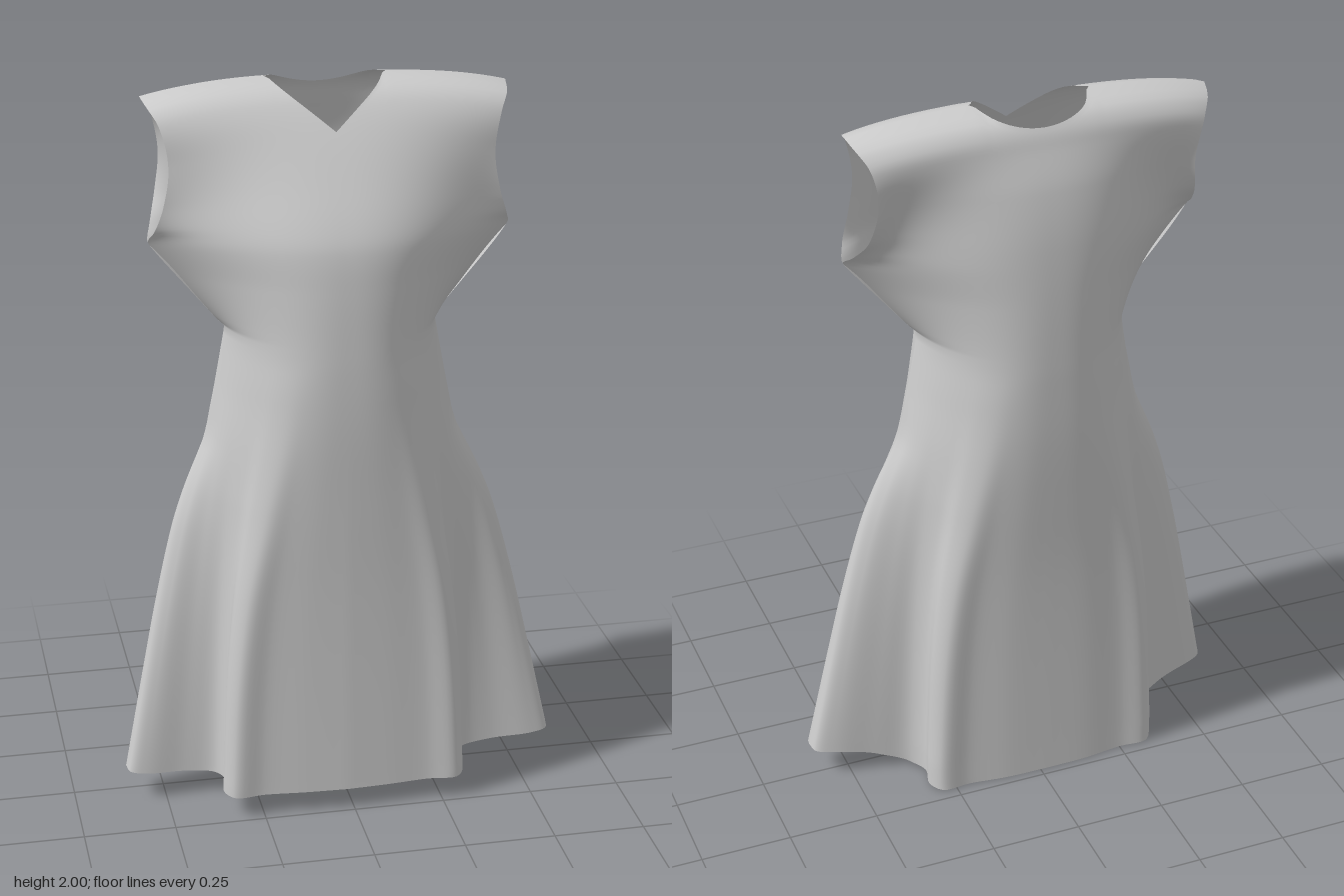
import * as THREE from 'three';
import { mergeGeometries, mergeVertices } from 'three/addons/utils/BufferGeometryUtils.js';

const WAIST = 1.35, TOP = 2, CENTRE = -0.02, COLS = 120, ROWS = 60;

// Smooth curve through [height, value] pairs
function profile(pts) {
  const slope = i => {
    const a = pts[Math.max(i - 1, 0)], b = pts[Math.min(i + 1, pts.length - 1)];
    return (b[1] - a[1]) / (b[0] - a[0]);
  };
  return y => {
    if (y <= pts[0][0]) return pts[0][1];
    if (y >= pts[pts.length - 1][0]) return pts[pts.length - 1][1];
    let i = 0;
    while (y > pts[i + 1][0]) i++;
    const [y0, v0] = pts[i], [y1, v1] = pts[i + 1], h = y1 - y0, t = (y - y0) / h;
    const t2 = t * t, t3 = t2 * t;
    return v0 * (2 * t3 - 3 * t2 + 1) + v1 * (3 * t2 - 2 * t3)
      + h * slope(i) * (t3 - 2 * t2 + t) + h * slope(i + 1) * (t3 - t2);
  };
}

// Half width at the seam and armhole, softer half width of the body inside it, and roundness
const seamWidth = profile([[0.9, 0.35], [1.05, 0.34], [1.2, 0.312], [1.33, 0.288], [1.35, 0.285], [1.37, 0.303],
  [1.48, 0.388], [1.59, 0.472], [1.61, 0.482], [1.64, 0.47], [1.72, 0.445], [1.83, 0.43], [1.94, 0.45], [2, 0.485]]);
const bodyWidth = profile([[0.9, 0.35], [1.05, 0.34], [1.2, 0.322], [1.35, 0.318], [1.5, 0.352],
  [1.62, 0.405], [1.75, 0.43], [2, 0.485]]);
const roundness = profile([[0, 2.8], [1.2, 2.8], [1.4, 2.6], [1.6, 2.4], [2, 2.3]]);
// How far the side folds and the front and back of the skirt have opened at a height
const sideFlare = profile([[0.08, 1], [0.4, 0.74], [0.6, 0.57], [0.8, 0.37], [0.92, 0.2], [1.03, 0.03], [1.08, 0]]);
const bodyFlare = profile([[0.08, 1], [0.4, 0.88], [0.65, 0.68], [0.9, 0.34], [1.1, 0.1], [1.3, 0]]);

// Hem outline from the centre out to the tip of the side fold, as [x, z]
const hemCurve = pts => new THREE.CatmullRomCurve3(pts.map(([x, z]) => new THREE.Vector3(x, 0, z)));

const frontPanel = {
  sign: 1,
  depth: profile([[0, 0.25], [1, 0.266], [1.2, 0.267], [1.35, 0.262], [1.5, 0.252], [1.6, 0.238],
    [1.66, 0.215], [1.75, 0.165], [1.88, 0.085], [1.95, 0.032], [1.975, 0], [1.99, -0.035], [2, -0.07]]),
  edge: profile([[1.35, 0], [1.6, 0], [1.65, 0.04], [1.72, 0.053], [1.83, 0.053], [1.93, 0.04], [1.98, 0], [2, -0.07]]),
  hem: hemCurve([[0, 0.24], [0.12, 0.235], [0.23, 0.228], [0.31, 0.235], [0.337, 0.195], [0.325, 0.13],
    [0.355, 0.08], [0.44, 0.058], [0.55, 0.058], [0.6, 0.045], [0.61, 0.015]]),
  hemHeight: a => 0.062 + 0.032 * a * a,
  neck: s => 0.815 + 0.185 * Math.min(s / 0.32, 1)
};
const backPanel = {
  sign: -1,
  depth: profile([[0, -0.235], [0.6, -0.25], [1, -0.264], [1.4, -0.264], [1.65, -0.252], [1.8, -0.228],
    [1.9, -0.195], [1.955, -0.172], [1.985, -0.135], [2, -0.07]]),
  edge: profile([[1.35, 0], [1.6, 0], [1.64, -0.05], [1.71, -0.115], [1.83, -0.15], [1.93, -0.155], [1.98, -0.12], [2, -0.07]]),
  hem: hemCurve([[0, -0.226], [0.12, -0.224], [0.23, -0.213], [0.31, -0.215], [0.337, -0.175], [0.325, -0.115],
    [0.355, -0.07], [0.44, -0.05], [0.55, -0.035], [0.6, -0.015], [0.61, 0.015]]),
  hemHeight: a => 0.002 + 0.032 * a * a + 0.06 * THREE.MathUtils.smoothstep(a, 0.55, 0.8),
  neck: s => 0.93 + 0.07 * Math.min(s / 0.32, 1) ** 2
};

// Point on a panel: u runs across from -1 to 1, v from -1 (hem) over 0 (waist) to 1 (neck and shoulder)
function panelPoint(panel, u, v) {
  const a = Math.abs(u), side = Math.sign(u);
  const s = a === 1 ? 1 : Math.sin(a * Math.PI / 2);
  const bodyX = y => s * THREE.MathUtils.lerp(bodyWidth(y), seamWidth(y), s ** 5);
  const bodyZ = y => panel.depth(y) * (1 - s ** roundness(y));
  if (v >= 0) {
    const t = v * panel.neck(s), level = WAIST + t * (TOP - WAIST);
    const shoulder = TOP - 0.04 * s ** 3;
    // Armhole depth only bends the cloth near the edge; near the shoulder it spreads across
    const spread = THREE.MathUtils.lerp(8, roundness(level), THREE.MathUtils.smoothstep(level, 1.58, 1.95));
    return [CENTRE + side * bodyX(level), WAIST + t * (shoulder - WAIST),
      bodyZ(level) + panel.edge(level) * s ** spread];
  }
  const y = THREE.MathUtils.lerp(WAIST, panel.hemHeight(a), -v);
  const outer = THREE.MathUtils.smoothstep(a, 0.4, 0.9), h = panel.hem.getPoint(a);
  // The front and back open gradually from the waist, the side folds from the hip
  const blend = THREE.MathUtils.lerp(bodyFlare(y), sideFlare(y), outer);
  const x = THREE.MathUtils.lerp(bodyX(y), h.x, blend);
  const z = THREE.MathUtils.lerp(bodyZ(y), h.z, blend);
  const shift = blend * outer;
  return [CENTRE + side * x + 0.02 * shift, y, z + (side < 0 ? 0.025 : 0) * shift];
}

function panelGeometry(panel) {
  const pos = [], index = [], stride = COLS + 1;
  for (let j = -ROWS; j <= ROWS; j++)
    for (let i = 0; i <= COLS; i++) pos.push(...panelPoint(panel, 2 * i / COLS - 1, j / ROWS));
  for (let j = 0; j < 2 * ROWS; j++)
    for (let i = 0; i < COLS; i++) {
      const a = j * stride + i, b = a + 1, c = b + stride, d = a + stride;
      if (panel.sign > 0) index.push(a, b, c, a, c, d);
      else index.push(a, c, b, a, d, c);
    }
  const g = new THREE.BufferGeometry();
  g.setAttribute('position', new THREE.Float32BufferAttribute(pos, 3));
  g.setIndex(index);
  return g;
}

export function createModel() {
  const group = new THREE.Group();
  group.name = 'sleevelessDress';
  // Front and back panels sewn together at the side and shoulder seams
  const cloth = mergeVertices(mergeGeometries([panelGeometry(frontPanel), panelGeometry(backPanel)]), 1e-4);
  cloth.computeVertexNormals();
  const dress = new THREE.Mesh(cloth, new THREE.MeshStandardMaterial({ color: 0xcccccc, side: THREE.DoubleSide }));
  dress.name = 'dressCloth';
  group.add(dress);
  return group;
}
